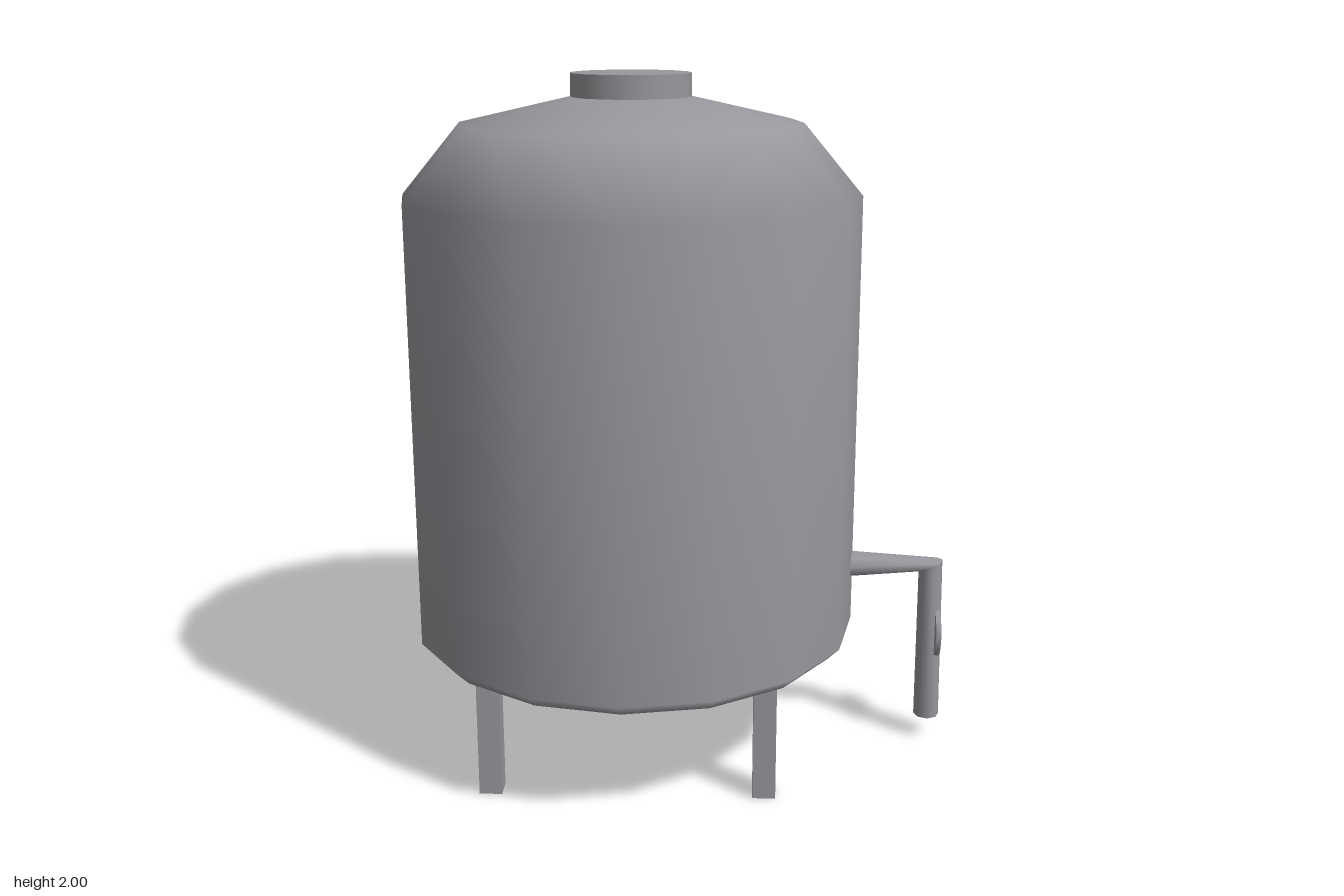
import * as THREE from 'three';

const TANK_X = -0.14;
const SIDES = 8;

// Skin between two oval rings, each given as { c: centre, u: half axis, v: half axis }
function loft(a, b, capStart, capEnd) {
  const pos = [], idx = [];
  const addRing = ({ c, u, v }) => {
    const start = pos.length / 3;
    for (let i = 0; i < SIDES; i++) {
      const t = (i / SIDES) * Math.PI * 2;
      for (let k = 0; k < 3; k++) pos.push(c[k] + u[k] * Math.cos(t) + v[k] * Math.sin(t));
    }
    return start;
  };
  const A = addRing(a), B = addRing(b);
  for (let i = 0; i < SIDES; i++) {
    const j = (i + 1) % SIDES;
    idx.push(A + i, A + j, B + i, A + j, B + j, B + i);
  }
  // End caps have their own corners so their edges stay sharp
  if (capStart) {
    const s = addRing(a);
    for (let i = 1; i < SIDES - 1; i++) idx.push(s, s + i + 1, s + i);
  }
  if (capEnd) {
    const s = addRing(b);
    for (let i = 1; i < SIDES - 1; i++) idx.push(s, s + i, s + i + 1);
  }
  const g = new THREE.BufferGeometry();
  g.setAttribute('position', new THREE.Float32BufferAttribute(pos, 3));
  g.setIndex(idx);
  g.computeVertexNormals();
  return g;
}

export function createModel() {
  const model = new THREE.Group();
  model.name = 'storageTank';
  const steel = new THREE.MeshStandardMaterial({ color: 0x97989d });
  steel.name = 'grey steel';

  const add = (name, geometry, x = 0, y = 0, z = 0) => {
    const mesh = new THREE.Mesh(geometry, steel);
    mesh.name = name;
    mesh.position.set(x, y, z);
    model.add(mesh);
    return mesh;
  };

  // Tank shell with bevelled foot and sloping shoulders
  const profile = [[0.62, 0.35], [0.655, 0.385], [0.655, 1.66], [0.485, 1.863], [0.17, 1.935], [0, 1.935]]
    .map(([r, y]) => new THREE.Vector2(r, y));
  add('tankBody', new THREE.LatheGeometry(profile, 16), TANK_X);

  // Flat underside, turned to share the shell's corners
  const floor = new THREE.CircleGeometry(0.62, 16);
  floor.rotateX(Math.PI / 2);
  add('tankFloor', floor, TANK_X, 0.35);

  // Filler lid
  add('lid', new THREE.CylinderGeometry(0.17, 0.17, 0.08, 16), TANK_X, 1.96);

  // Four square legs
  for (const sx of [-1, 1]) {
    for (const sz of [-1, 1]) {
      add('leg', new THREE.BoxGeometry(0.065, 0.36, 0.065), TANK_X + sx * 0.39, 0.18, sz * 0.39);
    }
  }

  // Drain pipe: arm and spout meeting at a flattened elbow
  const v = [0, 0, 0.04];
  const inlet = { c: [0.5, 0.557, 0], u: [0, 0.041, 0], v };
  const elbow = { c: [0.75, 0.557, 0], u: [0.035, 0.016, 0], v };
  const outlet = { c: [0.755, 0.07, 0], u: [0.038, 0, 0], v };
  add('drainArm', loft(inlet, elbow, true, false));
  add('drainSpout', loft(elbow, outlet, false, true));

  // Valve wheel across the spout
  const wheel = new THREE.CylinderGeometry(0.078, 0.078, 0.015, 16);
  wheel.rotateZ(Math.PI / 2);
  add('valveWheel', wheel, 0.774, 0.347, 0);

  return model;
}
